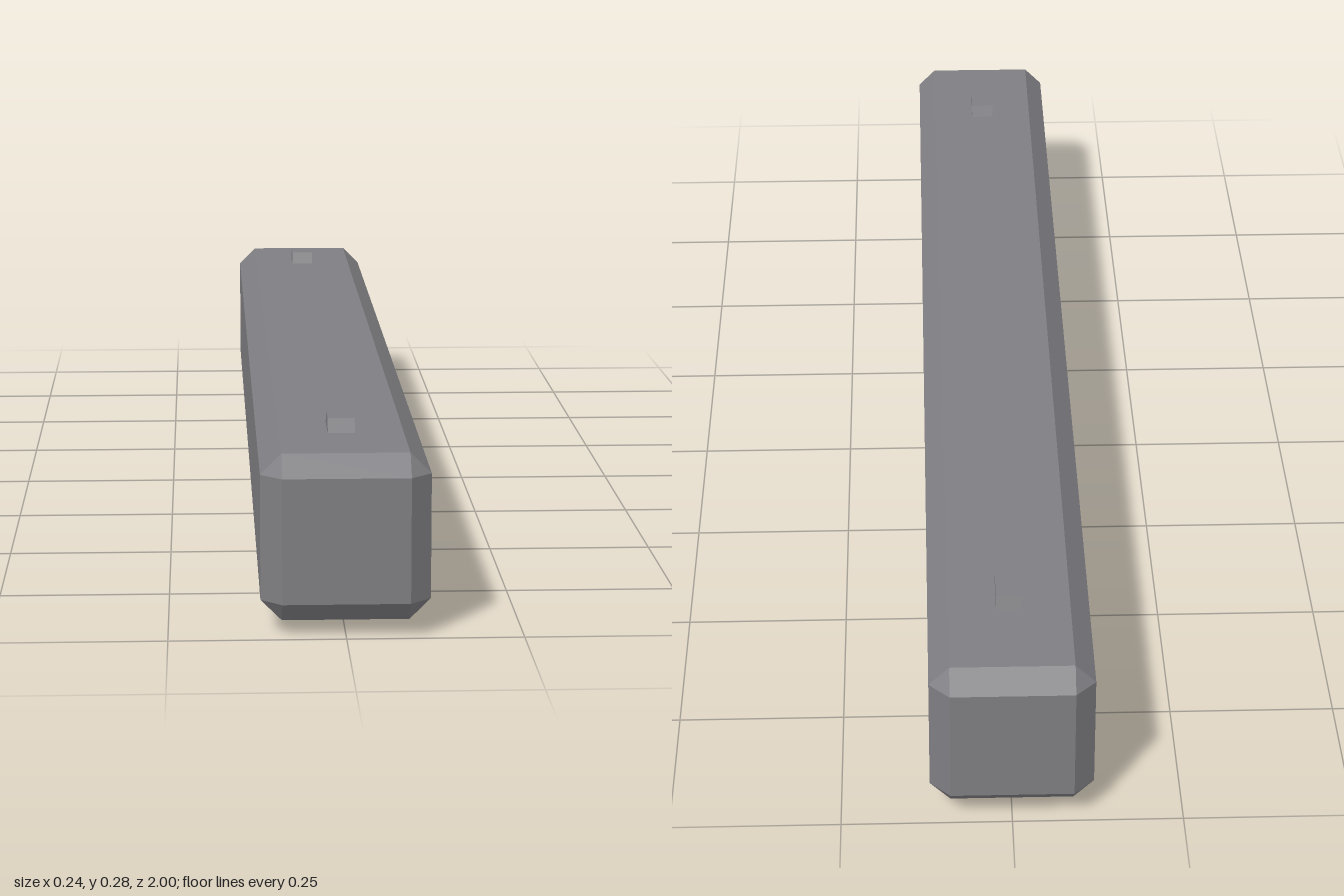
import * as THREE from 'three';
import { ConvexGeometry } from 'three/addons/geometries/ConvexGeometry.js';

const material = new THREE.MeshStandardMaterial({ color: 0x7f7e82, flatShading: true });

// Box with every edge cut at 45 degrees and a triangle at each corner
function chamferedBox(w, h, d, c) {
  const points = [];
  for (const sx of [-1, 1]) for (const sy of [-1, 1]) for (const sz of [-1, 1]) {
    for (let axis = 0; axis < 3; axis++) {
      const inset = [c, c, c];
      inset[axis] = 0;
      points.push(new THREE.Vector3(
        sx * (w / 2 - inset[0]), sy * (h / 2 - inset[1]), sz * (d / 2 - inset[2])));
    }
  }
  return new ConvexGeometry(points);
}

// Small stud: trapezoid in the z-y plane, extruded across x
function studGeometry(width, height, base, top) {
  const shape = new THREE.Shape([
    new THREE.Vector2(-base / 2, 0),
    new THREE.Vector2(base / 2, 0),
    new THREE.Vector2(top / 2, height),
    new THREE.Vector2(-top / 2, height),
  ]);
  return new THREE.ExtrudeGeometry(shape, { depth: width, bevelEnabled: false })
    .translate(0, 0, -width / 2)
    .rotateY(Math.PI / 2);
}

export function createModel() {
  const group = new THREE.Group();
  group.name = 'beam';
  const centerY = 0.14;

  // Main bar
  const bar = new THREE.Mesh(chamferedBox(0.24, 0.24, 2, 0.03), material);
  bar.name = 'bar';
  bar.position.y = centerY;
  group.add(bar);

  // Studs near both ends, on the top and the underside
  const geometry = studGeometry(0.039, 0.02, 0.072, 0.054);
  for (const side of [1, -1]) for (const end of [1, -1]) {
    const stud = new THREE.Mesh(geometry, material);
    stud.name = `${side > 0 ? 'top' : 'bottom'}${end > 0 ? 'Front' : 'Back'}Stud`;
    stud.position.set(0, centerY + side * 0.12, end * 0.8);
    if (side < 0) stud.rotation.z = Math.PI;
    group.add(stud);
  }
  return group;
}
